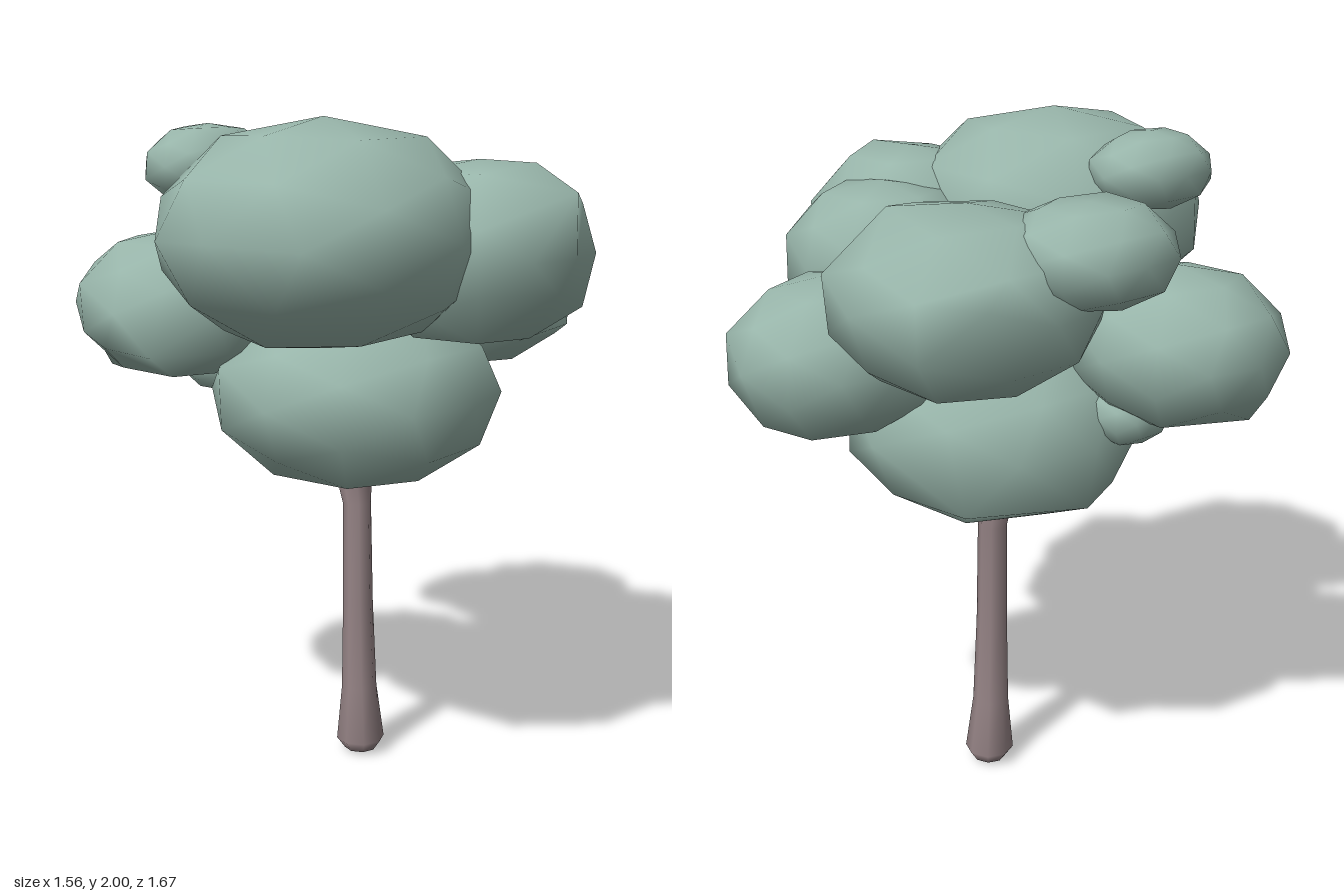
import * as THREE from 'three';
import { mergeVertices } from 'three/addons/utils/BufferGeometryUtils.js';

// Repeatable pseudo-random numbers for the irregular leaf clumps
function seeded(seed) {
  let s = seed * 7919 + 17;
  return () => (s = (s * 16807) % 2147483647) / 2147483647;
}

// Coarse, smooth-shaded clump: a plump ellipsoid with uneven corners.
// `turn` spins the facet pattern about y; each entry of `corners`
// pulls the closest corner out to that point.
function clumpGeometry({ at, size, full = 2.3, wobble = 0.04, turn = 0, corners = [] }, seed) {
  let geo = new THREE.IcosahedronGeometry(1, 1).rotateY(turn);
  geo.deleteAttribute('normal');
  geo.deleteAttribute('uv');
  geo = mergeVertices(geo, 1e-4);
  const rand = seeded(seed);
  const pos = geo.attributes.position;
  const centre = new THREE.Vector3(...at), radii = new THREE.Vector3(...size);
  const verts = [];
  for (let i = 0; i < pos.count; i++) {
    const v = new THREE.Vector3().fromBufferAttribute(pos, i);
    const sum = Math.abs(v.x) ** full + Math.abs(v.y) ** full + Math.abs(v.z) ** full;
    v.multiplyScalar((1 + (rand() - 0.5) * wobble) / sum ** (1 / full));
    verts.push(v.multiply(radii).add(centre));
  }
  for (const corner of corners) {
    const target = new THREE.Vector3(...corner);
    const nearest = verts.reduce((a, b) => (b.distanceTo(target) < a.distanceTo(target) ? b : a));
    nearest.copy(target);
  }
  verts.forEach((v, i) => pos.setXYZ(i, v.x, v.y, v.z));
  geo.computeVertexNormals();
  return geo;
}

// Tapered limb through rings of [x, y, z, radius]
function limbGeometry(rings, sides) {
  const points = [], index = [];
  for (const [x, y, z, r] of rings) {
    for (let i = 0; i < sides; i++) {
      const a = (i / sides) * Math.PI * 2;
      points.push(x + Math.sin(a) * r, y, z + Math.cos(a) * r);
    }
  }
  for (let j = 0; j < rings.length - 1; j++) {
    for (let i = 0; i < sides; i++) {
      const a = j * sides + i, b = j * sides + (i + 1) % sides;
      index.push(a, b, b + sides, a, b + sides, a + sides);
    }
  }
  const geo = new THREE.BufferGeometry();
  geo.setAttribute('position', new THREE.Float32BufferAttribute(points, 3));
  geo.setIndex(index);
  geo.computeVertexNormals();
  return geo;
}

export function createModel() {
  const group = new THREE.Group();
  const bark = new THREE.MeshStandardMaterial({ color: 0x968486 });
  bark.name = 'bark';
  const leaves = new THREE.MeshStandardMaterial({ color: 0x98b5aa });
  leaves.name = 'leaves';

  const add = (name, geo, material) => {
    const mesh = new THREE.Mesh(geo, material);
    mesh.name = name;
    group.add(mesh);
  };

  // Trunk: rounded foot, slim shaft, flare under the crown
  add('trunk', limbGeometry([
    [-0.02, 0, -0.075, 0.002], [-0.02, 0.01, -0.075, 0.05], [-0.02, 0.045, -0.074, 0.075],
    [-0.022, 0.22, -0.07, 0.055], [-0.025, 0.5, -0.067, 0.047], [-0.03, 0.82, -0.068, 0.044],
    [-0.042, 0.9, -0.07, 0.055], [-0.03, 1.15, -0.06, 0.04], [-0.03, 1.45, -0.06, 0.028],
  ], 8), bark);

  // Leaf clumps
  const clumps = {
    lowerCrown: {
      at: [-0.03, 1.175, -0.06], size: [0.43, 0.287, 0.437], full: 2.2, wobble: 0.02,
      corners: [[-0.45, 1.01, -0.08], [-0.3, 1.02, -0.4], [-0.03, 1.18, -0.51]],
    },
    frontClump: {
      at: [0.18, 1.69, 0.365], size: [0.445, 0.31, 0.46], full: 2.2, wobble: 0.02, turn: Math.PI / 2,
      corners: [[0.16, 1.7, 0.83]],
    },
    backRightClump: {
      at: [-0.31, 1.65, -0.4], size: [0.36, 0.25, 0.375], full: 2.2,
      corners: [[-0.28, 1.92, -0.63], [-0.64, 1.72, -0.61], [-0.31, 1.67, -0.78]],
    },
    frontRightClump: {
      at: [-0.465, 1.435, 0.235], size: [0.315, 0.22, 0.29],
      corners: [[-0.68, 1.24, 0.32], [-0.47, 1.34, 0.555], [-0.33, 1.32, 0.52]],
    },
    backClump: {
      at: [0.1, 1.43, -0.51], size: [0.275, 0.225, 0.325],
      corners: [[0.43, 1.36, -0.53], [0.08, 1.28, -0.79]],
    },
    leftClump: {
      at: [0.465, 1.635, 0.04], size: [0.305, 0.255, 0.295], full: 2.5,
      corners: [[0.78, 1.81, 0.06], [0.73, 1.54, 0.06], [0.63, 1.88, 0.02]],
    },
    backLeftClump: {
      at: [0.335, 1.6, -0.17], size: [0.295, 0.225, 0.285], full: 2.4,
      corners: [[0.62, 1.6, -0.28]],
    },
    rightTopLump: { at: [-0.55, 1.78, -0.19], size: [0.205, 0.135, 0.22], full: 2.8, wobble: 0.08 },
    frontTopLump: { at: [-0.21, 1.865, 0.385], size: [0.145, 0.11, 0.185], full: 2.7, wobble: 0.08 },
    innerLump: { at: [-0.15, 1.65, 0.24], size: [0.165, 0.14, 0.17] },
    lowerLump: { at: [-0.42, 1.25, 0.1], size: [0.11, 0.09, 0.12], full: 2.6 },
  };
  Object.entries(clumps).forEach(([name, clump], i) => {
    add(name, clumpGeometry(clump, i + 1), leaves);
  });

  return group;
}
